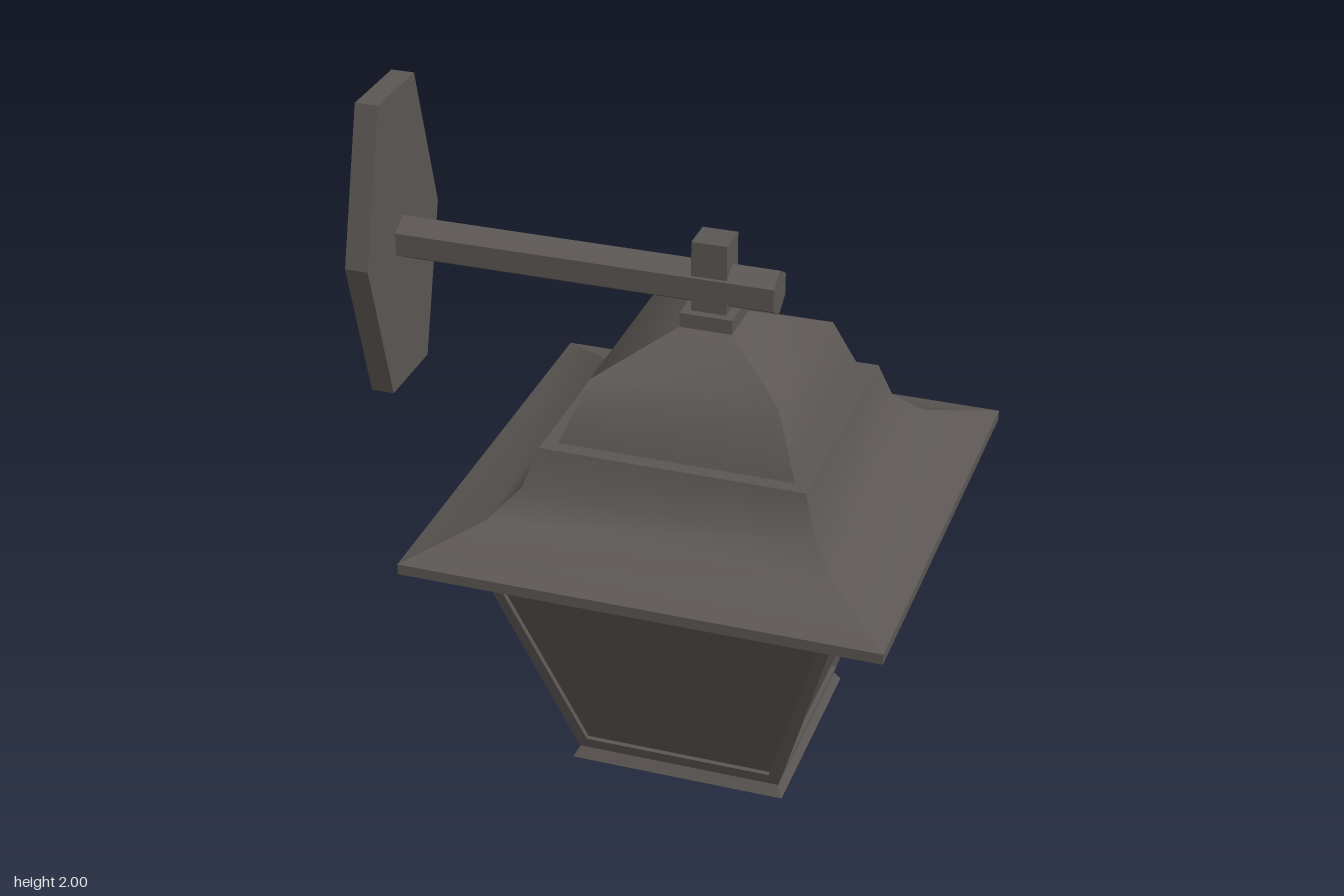
import * as THREE from 'three';
import { mergeGeometries } from 'three/addons/utils/BufferGeometryUtils.js';

const LAMP_X = 0.147;
const metal = new THREE.MeshStandardMaterial({ color: 0x5b5653 });
const glass = new THREE.MeshStandardMaterial({ color: 0x57514e });

function build(positions, index) {
  const g = new THREE.BufferGeometry();
  g.setAttribute('position', new THREE.Float32BufferAttribute(positions, 3));
  g.setIndex(index);
  return g;
}

// Repeats a front-facing piece on all four sides of the lantern.
function fourSides(piece) {
  return mergeGeometries([0, 1, 2, 3].map((i) => piece.clone().rotateY((i * Math.PI) / 2)));
}

// Square tower from strips of [halfWidth, y], listed from underneath, outward and up.
// Shading is smooth along each strip and sharp between strips and at corners.
function squareLoft(strips) {
  const pieces = strips.map((strip) => {
    const pos = [], idx = [];
    strip.forEach(([h, y], i) => {
      pos.push(-h, y, h, h, y, h);
      if (i) {
        const a = 2 * i - 2;
        idx.push(a, a + 1, a + 3, a, a + 3, a + 2);
      }
    });
    const g = build(pos, idx);
    g.computeVertexNormals();
    return g;
  });
  return fourSides(mergeGeometries(pieces));
}

// Cuts a profile into one flat strip per segment.
const flatStrips = (pts) => pts.slice(1).map((p, i) => [pts[i], p]);

// Sloping side wall of the lantern: outer size and the pane opening.
const OUTER = { top: 0.93, bottom: 0.215, wTop: 0.505, wBottom: 0.29 };
const OPENING = { top: 0.895, bottom: 0.25, wTop: 0.465, wBottom: 0.265 };
const RECESS = 0.015;
const wallZ = (y) => THREE.MathUtils.mapLinear(y, OUTER.bottom, OUTER.top, OUTER.wBottom, OUTER.wTop);

function trapezoid(t, inset) {
  return [[-t.wBottom, t.bottom], [t.wBottom, t.bottom], [t.wTop, t.top], [-t.wTop, t.top]]
    .flatMap(([x, y]) => [x, y, wallZ(y) - inset]);
}

function flat(geometry) {
  const g = geometry.toNonIndexed();
  g.computeVertexNormals();
  return g;
}

function frameSide() {
  const pos = [...trapezoid(OUTER, 0), ...trapezoid(OPENING, 0), ...trapezoid(OPENING, RECESS)];
  const idx = [];
  for (let ring = 0; ring < 2; ring++) {
    for (let k = 0; k < 4; k++) {
      const a = ring * 4 + k, b = ring * 4 + ((k + 1) % 4);
      idx.push(a, b, b + 4, a, b + 4, a + 4);
    }
  }
  return flat(build(pos, idx));
}

export function createModel() {
  const model = new THREE.Group();
  model.name = 'wallLantern';
  const add = (parent, name, geometry, material = metal) => {
    const mesh = new THREE.Mesh(geometry, material);
    mesh.name = name;
    parent.add(mesh);
    return mesh;
  };

  const lantern = new THREE.Group();
  lantern.name = 'lantern';
  lantern.position.x = LAMP_X;
  model.add(lantern);

  // Pointed base with its collar
  add(lantern, 'base', squareLoft(flatStrips(
    [[0, 0.005], [0.072, 0.005], [0.305, 0.188], [0.288, 0.218], [0, 0.218]])).translate(0, -0.005, 0));

  // Window frames and recessed panes
  add(lantern, 'windowFrames', fourSides(frameSide()));
  add(lantern, 'panes', fourSides(flat(build(trapezoid(OPENING, RECESS), [0, 1, 2, 0, 2, 3]))), glass);

  // Flared roof skirt with a thin rim and a ledge on top
  add(lantern, 'roofSkirt', squareLoft([
    [[0, 0.93], [0.652, 0.93]],
    [[0.652, 0.93], [0.652, 0.96]],
    [[0.652, 0.96], [0.473, 1.025], [0.398, 1.1], [0.363, 1.205]],
    [[0.363, 1.205], [0.32, 1.205]],
  ]));

  // Domed roof
  add(lantern, 'roofDome', squareLoft([
    [[0.323, 1.205], [0.257, 1.373], [0.072, 1.467]],
  ]));

  // Neck and hanging stem
  add(lantern, 'neck', new THREE.BoxGeometry(0.145, 0.045, 0.145)).position.y = 1.485;
  add(lantern, 'stem', new THREE.BoxGeometry(0.097, 0.205, 0.097)).position.y = 1.603;

  // Hexagonal arm
  const arm = flat(new THREE.CylinderGeometry(0.063, 0.063, 1.07, 6).rotateY(Math.PI / 2).rotateZ(Math.PI / 2));
  // Turn so a ridge lies on top
  const p = arm.attributes.position;
  let top = -1;
  for (let i = 0; i < p.count; i++) top = Math.max(top, p.getY(i));
  if (top < 0.06) arm.rotateX(Math.PI / 6);
  add(model, 'arm', arm).position.set(-0.21, 1.573, 0);

  // Six-sided wall plate
  const outline = [[-0.12, 1.15], [0.12, 1.15], [0.24, 1.575], [0.12, 2], [-0.12, 2], [-0.24, 1.575]];
  const plate = new THREE.ExtrudeGeometry(
    new THREE.Shape(outline.map(([x, y]) => new THREE.Vector2(x, y))),
    { depth: 0.065, bevelEnabled: false });
  plate.rotateY(Math.PI / 2);
  add(model, 'wallPlate', plate).position.x = -0.8;

  return model;
}
